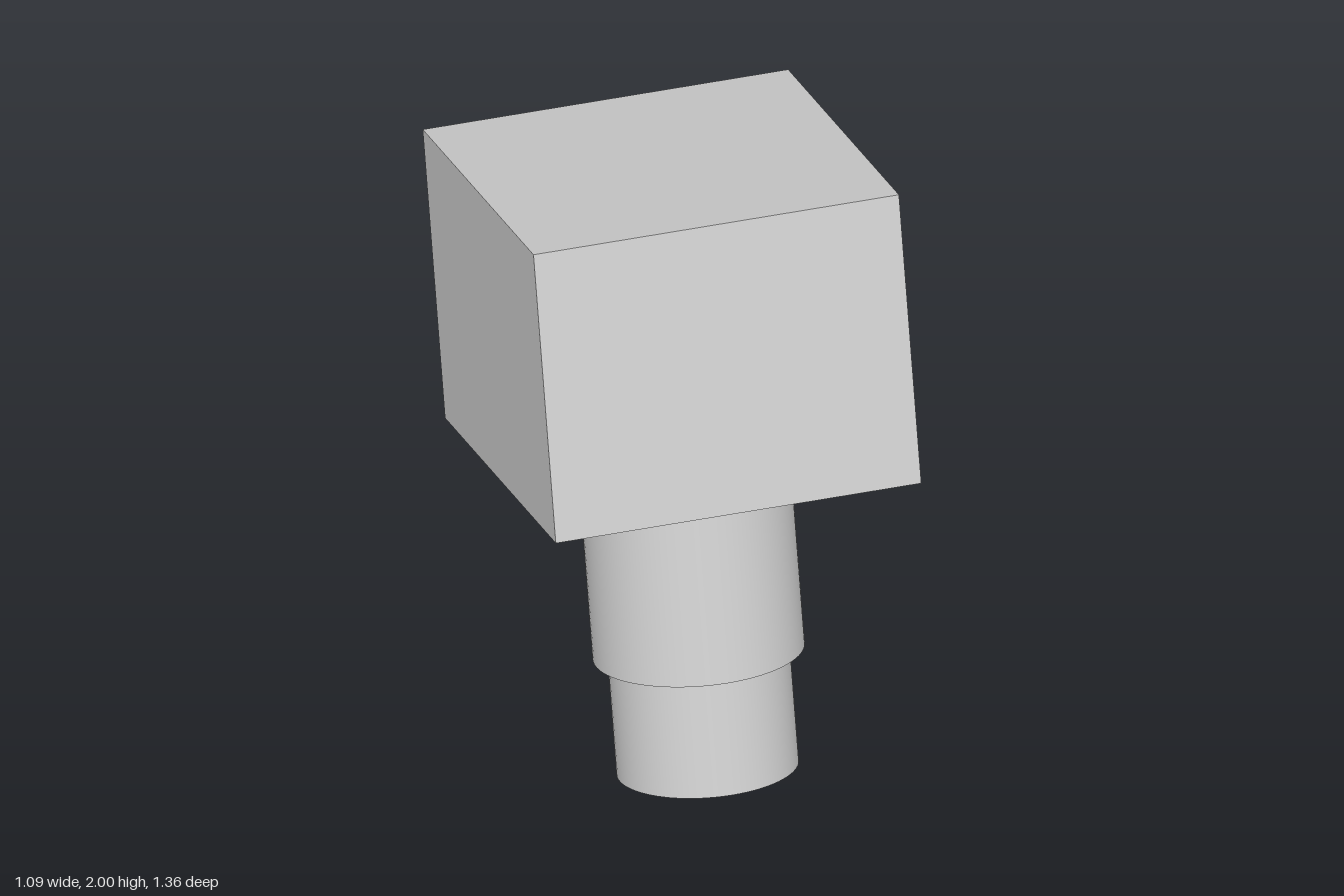
import * as THREE from 'three';

export function createModel() {
  const grey = new THREE.MeshStandardMaterial({ color: 0xcccccc });
  grey.name = 'light grey';

  const model = new THREE.Group();
  model.name = 'tiltedBlockOnSteppedPost';

  // Everything shares one axis, leaning back by 15 degrees about the block centre
  const tilted = new THREE.Group();
  tilted.name = 'tiltedAssembly';
  tilted.position.y = 1.425;
  tilted.rotation.x = -Math.PI / 12;
  model.add(tilted);

  const addPart = (name, geometry, y) => {
    const mesh = new THREE.Mesh(geometry, grey);
    mesh.name = name;
    mesh.position.y = y;
    tilted.add(mesh);
  };

  const cylinder = (name, radius, bottom, top) =>
    addPart(name, new THREE.CylinderGeometry(radius, radius, top - bottom, 72), (top + bottom) / 2);

  // Block head
  addPart('block', new THREE.BoxGeometry(1.09, 0.88, 1.17), 0);

  // Stepped post below the block
  cylinder('upperPost', 0.305, -1.05, -0.44);
  cylinder('lowerPost', 0.262, -1.405, -1.05);

  return model;
}
